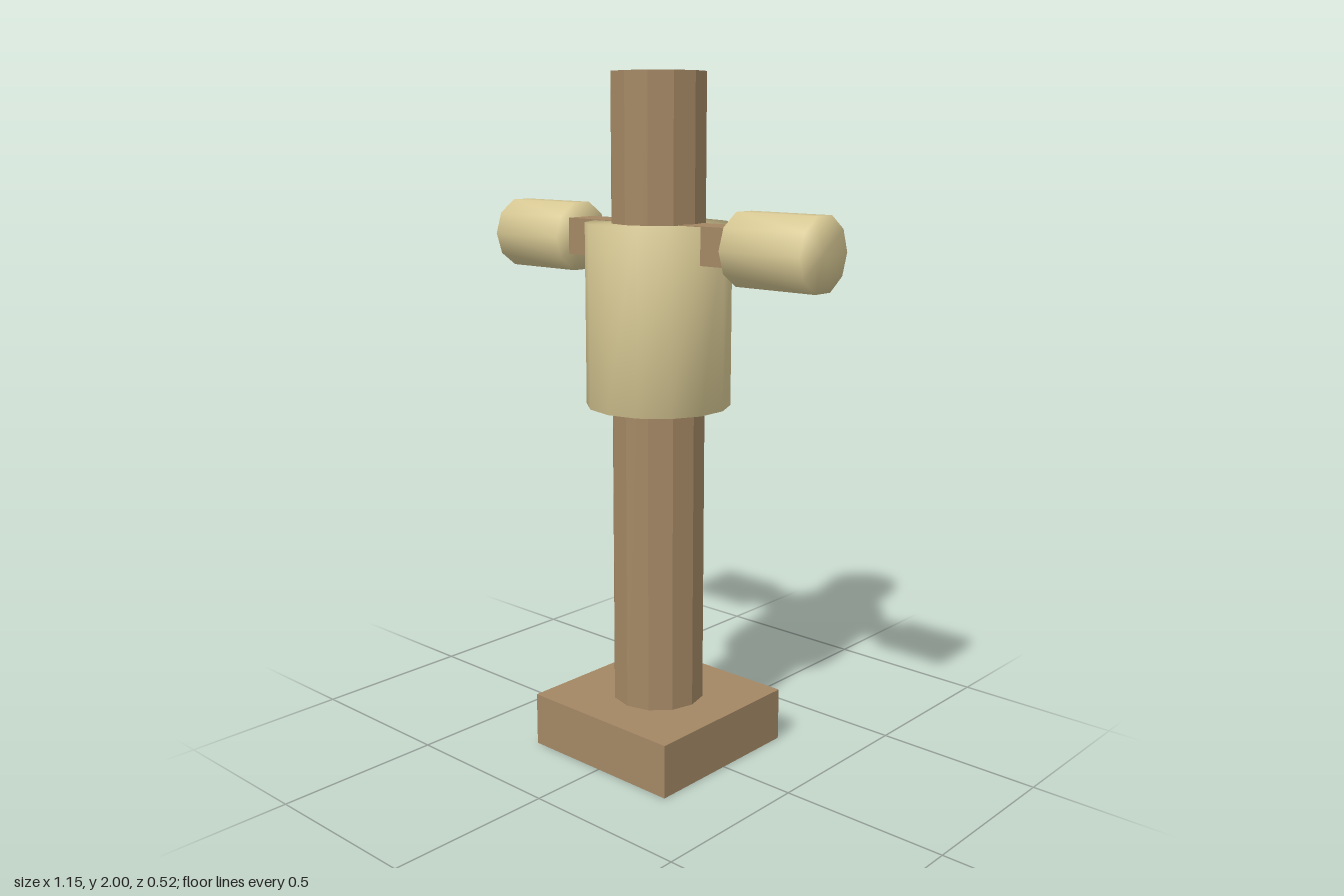
import * as THREE from 'three';
import { mergeVertices } from 'three/addons/utils/BufferGeometryUtils.js';

// Cylinder whose normals run smoothly over the rim onto the caps
function softCylinder(radius, length, sides) {
  const g = new THREE.CylinderGeometry(radius, radius, length, sides);
  g.deleteAttribute('normal');
  g.deleteAttribute('uv');
  const merged = mergeVertices(g, 1e-4);
  merged.computeVertexNormals();
  return merged;
}

export function createModel() {
  const model = new THREE.Group();
  model.name = 'trainingPost';

  const wood = new THREE.MeshStandardMaterial({ color: 0xa38764, flatShading: true });
  wood.name = 'wood';
  const padding = new THREE.MeshStandardMaterial({ color: 0xd8c994 });
  padding.name = 'straw padding';

  const add = (name, geometry, material, x, y, z) => {
    const mesh = new THREE.Mesh(geometry, material);
    mesh.name = name;
    mesh.position.set(x, y, z);
    model.add(mesh);
    return mesh;
  };

  // Square foot and twelve-sided post
  add('base', new THREE.BoxGeometry(0.524, 0.16, 0.524), wood, 0, 0.08, 0);
  add('post', new THREE.CylinderGeometry(0.137, 0.137, 1.9, 12), wood, 0, 1.05, 0);

  // Padded sleeve around the post
  add('bodyPad', softCylinder(0.21, 0.525, 14), padding, 0, 1.3225, 0);

  // Crossbar, its top just proud of the sleeve
  add('crossbar', new THREE.BoxGeometry(0.8, 0.107, 0.105), wood, 0, 1.5335, 0);

  // Padded ends of the crossbar
  for (const [name, side] of [['leftArmPad', 1], ['rightArmPad', -1]]) {
    const pad = add(name, softCylinder(0.105, 0.264, 10), padding, side * 0.442, 1.53, 0);
    pad.rotation.z = -side * Math.PI / 2;
  }

  return model;
}
